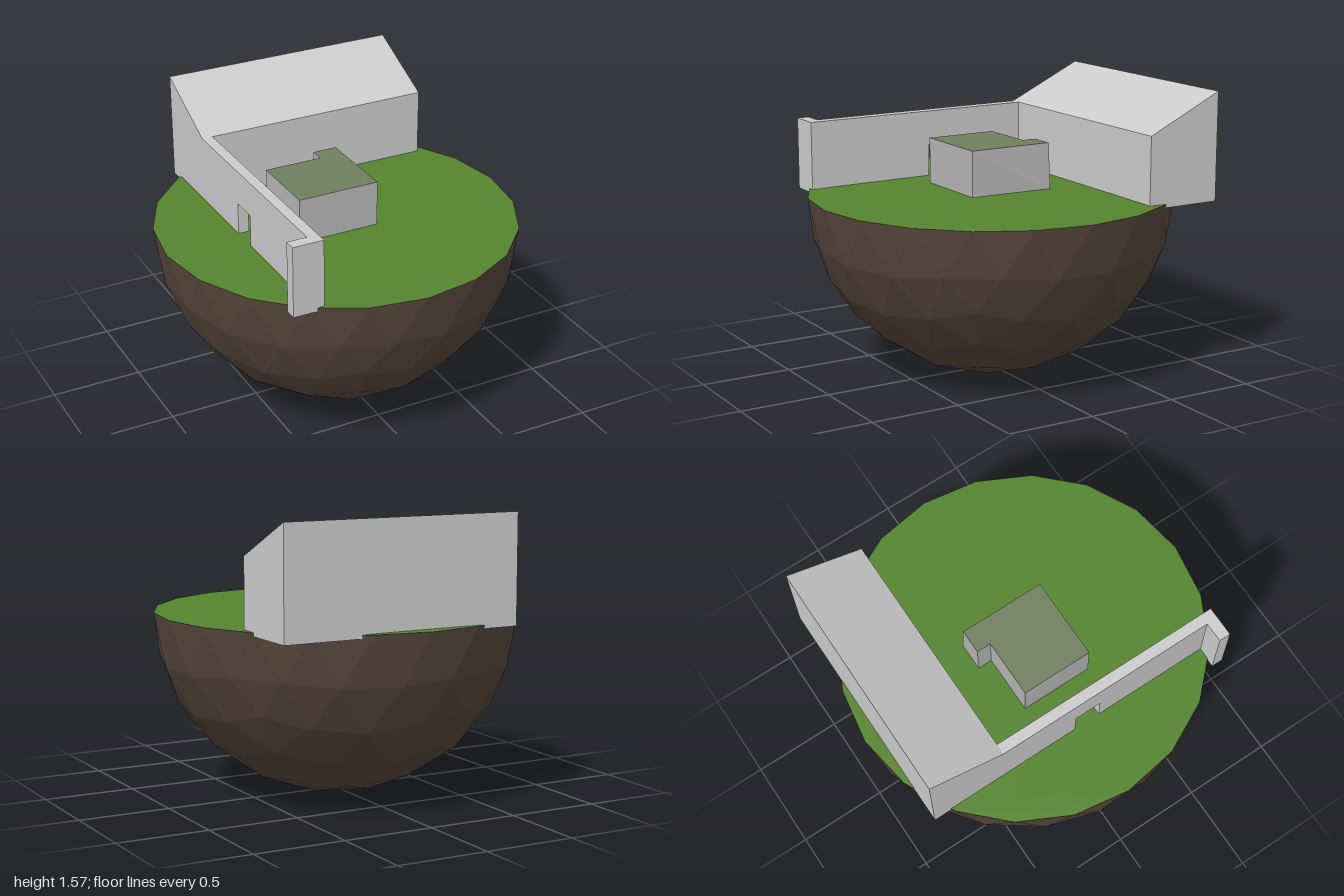
import * as THREE from 'three';

const paint = (color) => new THREE.MeshStandardMaterial({ color, flatShading: true });
const outline = (points) => new THREE.Shape(points.map(([a, b]) => new THREE.Vector2(a, b)));
const extrude = (points, depth) =>
  new THREE.ExtrudeGeometry(outline(points), { depth, bevelEnabled: false });

// Extrudes a (z, y) side profile across from x0 to x1
function acrossX(profile, x0, x1) {
  return extrude(profile.map(([z, y]) => [-z, y]), x1 - x0)
    .rotateY(Math.PI / 2)
    .translate(x0, 0, 0);
}

// Half a faceted ball: the part above the equator is pressed nearly flat
function halfBall(keepTop) {
  const ball = new THREE.IcosahedronGeometry(1, 3)
    .rotateX(-Math.atan((1 + Math.sqrt(5)) / 2)) // stand it on a corner
    .rotateY(Math.PI / 2);
  const pos = ball.attributes.position;
  const out = [];
  for (let i = 0; i < pos.count; i += 3) {
    const middle = (pos.getY(i) + pos.getY(i + 1) + pos.getY(i + 2)) / 3;
    if (middle > 0 !== keepTop) continue;
    for (let k = i; k < i + 3; k++) {
      const y = pos.getY(k);
      out.push(pos.getX(k) * 0.985, 1 + y * (y > 0 ? 0.004 : 0.997), pos.getZ(k) * 0.998);
    }
  }
  const geometry = new THREE.BufferGeometry();
  geometry.setAttribute('position', new THREE.Float32BufferAttribute(out, 3));
  geometry.computeVertexNormals();
  return geometry;
}

export function createModel() {
  const model = new THREE.Group();
  model.name = 'floatingIsland';
  const grey = paint(0xcccccc);
  const add = (name, geometry, material = grey, parent = model) => {
    const mesh = new THREE.Mesh(geometry, material);
    mesh.name = name;
    parent.add(mesh);
    return mesh;
  };

  // Island
  add('soil', halfBall(false), paint(0x54443a));
  add('grass', halfBall(true), paint(0x55842f));

  // Long building with a single-pitch roof rising to the back
  add('building', acrossX(
    [[-0.49, 0.98], [-0.92, 0.98], [-0.92, 1.57], [-0.49, 1.37]].reverse(), -0.555, 0.79));

  // Garden wall with a doorway, and its short return at the front
  const wall = new THREE.Group();
  wall.name = 'gardenWall';
  model.add(wall);
  add('wallRun', acrossX([
    [0.83, 0.98], [0.105, 0.98], [0.105, 1.18], [-0.045, 1.18],
    [-0.045, 0.98], [-0.49, 0.98], [-0.49, 1.37], [0.83, 1.37],
  ], -0.555, -0.495), grey, wall);
  add('wallReturn', acrossX(
    [[0.83, 0.98], [0.765, 0.98], [0.765, 1.37], [0.83, 1.37]], -0.665, -0.555), grey, wall);

  // L-shaped hut with a green roof; its +x side leans out towards the back
  const hut = extrude([
    [-0.315, -0.2], [0.145, -0.2], [0.145, 0.28], [0.01, 0.28], [0.01, 0.2], [-0.315, 0.2],
  ], 0.265).rotateX(-Math.PI / 2).translate(0, 0.99, 0);
  const pos = hut.attributes.position;
  for (let i = 0; i < pos.count; i++) {
    if (pos.getX(i) > 0.1 && pos.getY(i) < 1.1) {
      pos.setX(i, pos.getX(i) + 0.04 * (0.2 - pos.getZ(i)));
    }
  }
  hut.computeVertexNormals();
  add('hut', hut, [paint(0x717f60), paint(0xb5b5b5)]);

  return model;
}
